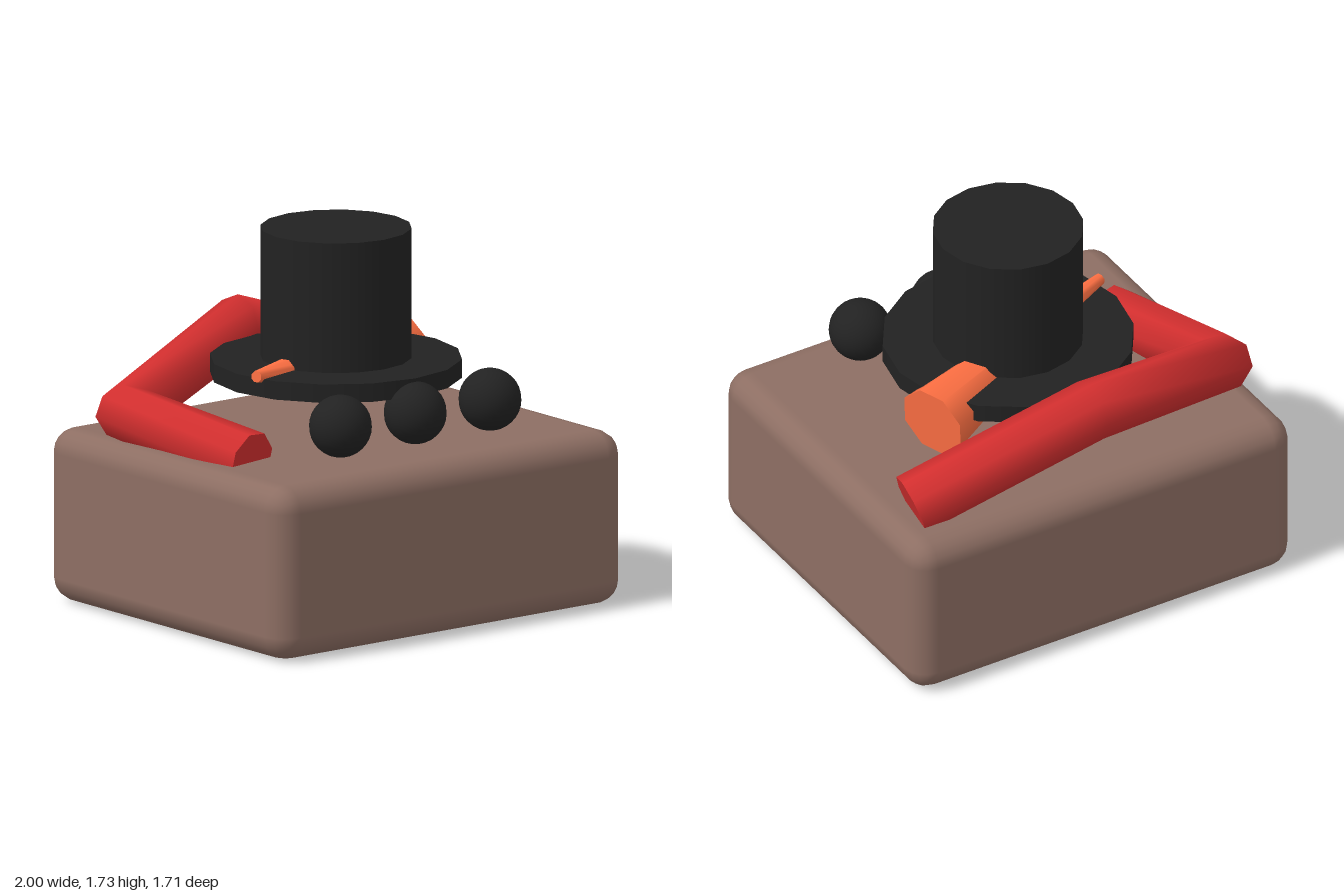
import * as THREE from 'three';
import { RoundedBoxGeometry } from 'three/addons/geometries/RoundedBoxGeometry.js';

const V = (x, y, z) => new THREE.Vector3(x, y, z);
const mat = (color, side = THREE.FrontSide) => new THREE.MeshStandardMaterial({ color, side });

export function createModel() {
  const group = new THREE.Group();
  const brown = mat(0x8d6e63), black = mat(0x222222), orange = mat(0xff7043);
  const red = mat(0xd32f2f, THREE.DoubleSide);

  function add(name, geometry, material, x = 0, y = 0, z = 0) {
    const mesh = new THREE.Mesh(geometry, material);
    mesh.name = name;
    mesh.position.set(x, y, z);
    group.add(mesh);
    return mesh;
  }

  // Rounded block
  add('block', new RoundedBoxGeometry(2, 0.8, 1.71, 2, 0.114), brown, 0, 0.4, 0);

  // Top hat
  add('hatBrim', new THREE.CylinderGeometry(0.57, 0.57, 0.085, 16), black, 0, 1.09, 0);
  add('hatCrown', new THREE.CylinderGeometry(0.342, 0.342, 0.71, 16), black, 0, 1.375, 0);

  // Row of round buttons
  for (const [name, x] of [['rightButton', -0.43], ['middleButton', 0], ['leftButton', 0.43]]) {
    add(name, new THREE.SphereGeometry(0.142, 24, 16), black, x, 0.975, 0.57);
  }

  // Tapered nose lying under the hat
  const tip = V(-0.57, 1.145, 0.14), base = V(0.57, 1.03, -0.283);
  const axis = tip.clone().sub(base);
  const nose = add('nose', new THREE.CylinderGeometry(0.027, 0.172, axis.length(), 8), orange);
  nose.position.copy(tip).add(base).multiplyScalar(0.5);
  nose.quaternion.setFromUnitVectors(V(0, 1, 0), axis.normalize());

  // Scarf: an eight-sided tube with one ring at each bend
  const path = new THREE.CatmullRomCurve3([
    V(0.86, 0.86, -0.572), V(0, 1.147, -0.712), V(-0.86, 0.92, -0.433), V(-0.717, 0.8, 0.29),
  ]);
  path.getPointAt = (t, target) => path.getPoint(t, target);
  path.getTangentAt = (t, target) => path.getTangent(t, target);
  const tube = new THREE.TubeGeometry(path, 3, 0.141, 8);
  add('scarf', tube, red);

  // Flat caps closing both scarf ends, fanned from the end rings
  for (const [name, first, flip] of [['scarfLeftEnd', 0, false], ['scarfRightEnd', 27, true]]) {
    const cap = new THREE.BufferGeometry();
    cap.setAttribute('position', tube.attributes.position.clone());
    const index = [];
    for (let i = 1; i < 7; i++) {
      index.push(first, first + (flip ? i + 1 : i), first + (flip ? i : i + 1));
    }
    cap.setIndex(index);
    const flat = cap.toNonIndexed();
    flat.computeVertexNormals();
    add(name, flat, red);
  }

  return group;
}
